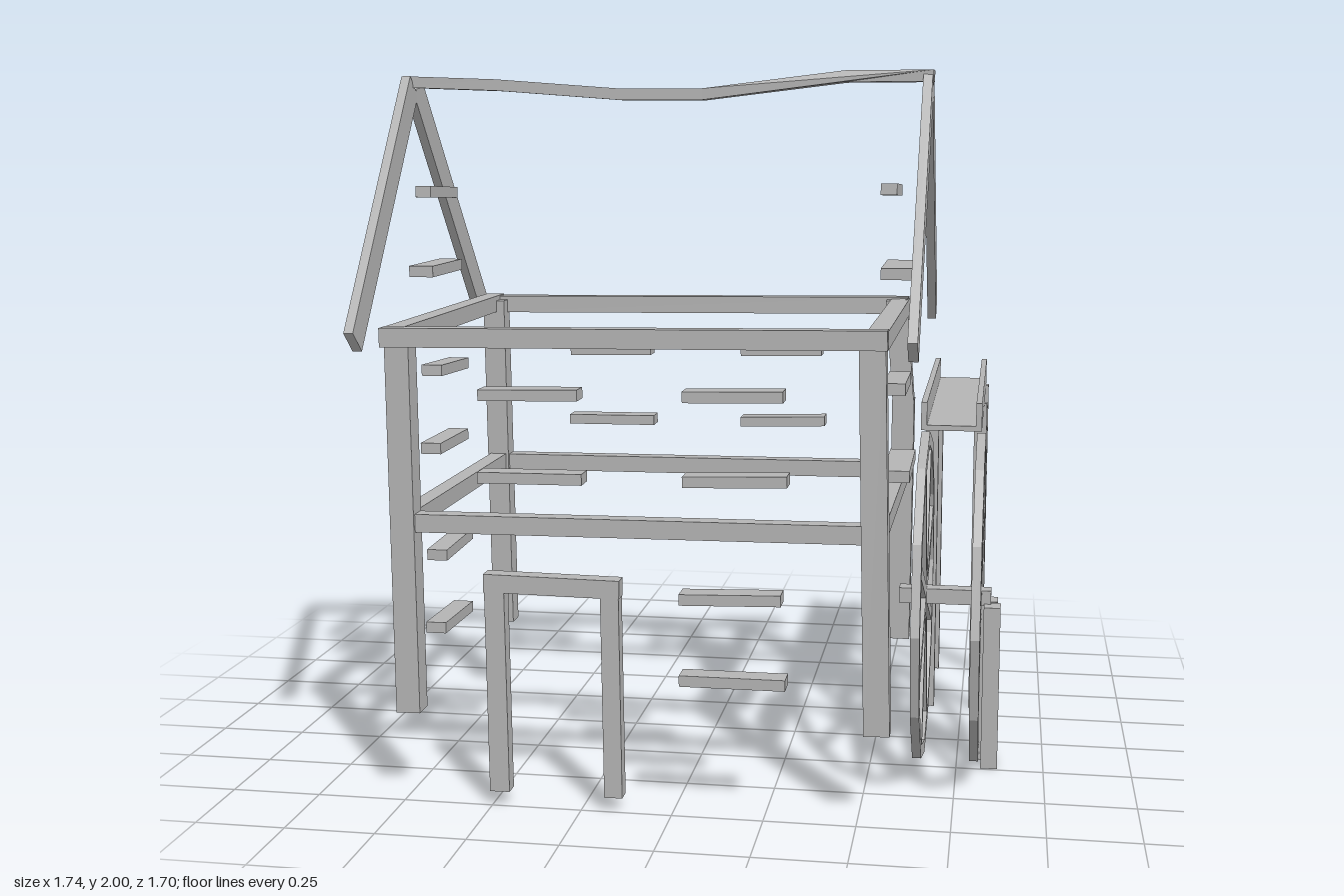
import * as THREE from 'three';

const V = (p) => new THREE.Vector3(...p);

export function createModel() {
  const model = new THREE.Group();
  const timber = new THREE.MeshStandardMaterial({ color: 0xb4b4b4 });
  timber.name = 'timber grey';

  const add = (name, geometry, parent = model) => {
    const mesh = new THREE.Mesh(geometry, timber);
    mesh.name = name;
    parent.add(mesh);
    return mesh;
  };

  // Axis-aligned box given by its min and max along x, y and z
  const box = (name, x0, x1, y0, y1, z0, z1, parent) =>
    add(name, new THREE.BoxGeometry(x1 - x0, y1 - y0, z1 - z0), parent)
      .position.set((x0 + x1) / 2, (y0 + y1) / 2, (z0 + z1) / 2);

  // Square-cut beam from a to b; w is its size along x (or z if it runs along x)
  const beam = (name, a, b, w, h, parent) => {
    const start = V(a), end = V(b);
    const dir = end.clone().sub(start);
    const length = dir.length();
    dir.normalize();
    const side = Math.abs(dir.x) > 0.7 ? V([0, 0, 1]) : V([1, 0, 0]);
    side.addScaledVector(dir, -side.dot(dir)).normalize();
    const up = dir.clone().cross(side);
    const geometry = new THREE.BoxGeometry(w, h, length);
    geometry.applyMatrix4(new THREE.Matrix4().makeBasis(side, up, dir));
    add(name, geometry, parent).position.copy(start.add(end).multiplyScalar(0.5));
  };

  // Corner posts, slightly crooked
  beam('cornerPost', [-0.75, 1.3, 0.695], [-0.74, 0.245, 0.7], 0.067, 0.067);
  beam('cornerPost', [-0.75, 1.3, -0.25], [-0.74, 0.245, -0.262], 0.067, 0.063);
  beam('cornerPost', [0.525, 1.32, 0.695], [0.55, 0.245, 0.7], 0.07, 0.067);
  beam('cornerPost', [0.53, 1.32, -0.25], [0.555, 1.0, -0.255], 0.065, 0.063);
  beam('cornerPost', [0.555, 1.01, -0.255], [0.55, 0.245, -0.262], 0.068, 0.063);

  // Wall plates under the roof and middle rails
  for (const z of [0.71, -0.285]) {
    beam('wallPlate', [-0.795, 1.285, z], [0.565, 1.3, z], 0.05, 0.052);
    const rz = z > 0 ? 0.695 : -0.262;
    beam('middleRail', [-0.73, 0.777, rz], [0.52, 0.785, rz], 0.05, 0.05);
  }
  beam('wallPlate', [-0.768, 1.285, 0.73], [-0.768, 1.29, -0.305], 0.055, 0.05);
  beam('wallPlate', [0.54, 1.3, 0.73], [0.54, 1.295, -0.305], 0.055, 0.05);
  beam('middleRail', [-0.745, 0.78, 0.68], [-0.745, 0.78, -0.24], 0.05, 0.05);
  beam('middleRail', [0.54, 0.785, 0.68], [0.55, 0.785, -0.24], 0.05, 0.05);

  // Door frame
  beam('doorPost', [-0.485, 0.61, 0.727], [-0.478, 0.04, 0.728], 0.055, 0.045);
  beam('doorPost', [-0.167, 0.61, 0.727], [-0.16, 0.04, 0.728], 0.05, 0.045);
  beam('doorLintel', [-0.515, 0.625, 0.725], [-0.14, 0.62, 0.725], 0.05, 0.05);

  // Loose planks on the front and back walls: x range, height at each end
  const planks = [
    [-0.515, -0.245, 1.14, 1.145], [0.035, 0.3, 1.147, 1.152],
    [-0.52, -0.235, 0.918, 0.92], [0.035, 0.312, 0.922, 0.93],
    [0.025, 0.297, 0.605, 0.612], [0.025, 0.31, 0.383, 0.383],
  ];
  planks.forEach(([x0, x1, y0, y1], i) => {
    beam('frontPlank', [x0, y0, 0.735], [x1, y1, 0.735], 0.065, 0.03);
    if (i < 4) beam('backPlank', [x0 + 0.005, y0, -0.293], [x1 - 0.005, y1, -0.293], 0.065, 0.03);
  });

  // Planks on the side walls and gables: x, z range, height at each end, width
  for (const [x, z0, z1, y0, y1, w] of [
    [-0.775, 0.35, 0.085, 1.148, 1.138, 0.06], [-0.78, 0.36, 0.085, 0.92, 0.92, 0.06],
    [-0.77, 0.355, 0.09, 0.602, 0.61, 0.06], [-0.775, 0.365, 0.09, 0.385, 0.38, 0.06],
    [-0.79, 0.345, 0.085, 1.662, 1.652, 0.045], [-0.795, 0.365, 0.08, 1.435, 1.437, 0.07],
    [0.538, 0.345, 0.085, 1.675, 1.665, 0.045], [0.567, 0.36, 0.075, 1.443, 1.448, 0.095],
    [0.575, 0.59, 0.31, 1.155, 1.152, 0.06], [0.585, 0.6, 0.3, 0.922, 0.93, 0.07],
  ]) beam('sidePlank', [x, y0, z0], [x, y1, z1], w, 0.032);

  // Gable rafters
  for (const [top, foot] of [[-0.86, -0.84], [0.636, 0.634]]) {
    beam('rafter', [top, 1.962, 0.23], [foot, 1.28, 0.81], 0.026, 0.085);
    beam('rafter', [top, 1.962, 0.195], [foot, 1.28, -0.37], 0.026, 0.085);
  }

  // Sagging ridge, bent sideways near its right end
  const ridge = [[-0.873, 1.99], [-0.6, 1.98], [-0.23, 1.952], [0, 1.952], [0.405, 2], [0.652, 2]];
  const lower = ridge.map(([x, y]) => [x, y - 0.032]).reverse();
  const ridgeShape = new THREE.Shape([...ridge, ...lower].map(([x, y]) => new THREE.Vector2(x, y)));
  const ridgeGeometry = new THREE.ExtrudeGeometry(ridgeShape, { depth: 0.08, bevelEnabled: false });
  ridgeGeometry.translate(0, 0, 0.162);
  const pos = ridgeGeometry.attributes.position;
  for (let i = 0; i < pos.count; i++) {
    if (pos.getX(i) > 0.5) pos.setZ(i, pos.getZ(i) + 0.024);
  }
  ridgeGeometry.computeVertexNormals();
  add('ridgeBeam', ridgeGeometry);

  // Water wheel: two twelve-sided rims with eight spokes each
  const wheel = new THREE.Group();
  wheel.name = 'waterWheel';
  wheel.position.set(0, 0.497, 0.175);
  model.add(wheel);
  const ring = (r) => Array.from({ length: 12 }, (_, i) =>
    new THREE.Vector2(Math.cos(i * Math.PI / 6) * r, Math.sin(i * Math.PI / 6) * r));
  const rimShape = new THREE.Shape(ring(0.48));
  rimShape.holes.push(new THREE.Path(ring(0.442)));
  for (const x of [0.643, 0.802]) {
    const rim = new THREE.ExtrudeGeometry(rimShape, { depth: 0.025, bevelEnabled: false });
    rim.translate(0, 0, -0.0125).rotateY(Math.PI / 2);
    add('wheelRim', rim, wheel).position.x = x;
    for (let i = 0; i < 8; i++) {
      const a = (i + 0.5) * Math.PI / 4;
      beam('spoke', [x, 0, 0], [x, Math.sin(a) * 0.445, Math.cos(a) * 0.445], 0.022, 0.036, wheel);
    }
  }
  box('axle', 0.575, 0.84, -0.022, 0.022, -0.025, 0.025, wheel);

  // Axle supports
  box('axleSupport', 0.82, 0.868, 0, 0.48, 0.183, 0.243);
  box('axleSupport', 0.81, 0.86, 0, 0.48, 0.11, 0.172);

  // Water trough on four legs
  box('troughFloor', 0.635, 0.8, 0.985, 1, -0.855, 0.2);
  box('troughSide', 0.63, 0.647, 0.985, 1.066, -0.855, 0.2);
  box('troughSide', 0.786, 0.803, 0.985, 1.066, -0.855, 0.2);
  for (const z of [-0.341, -0.763]) {
    box('troughLeg', 0.625, 0.663, 0, 0.99, z - 0.019, z + 0.019);
    box('troughLeg', 0.773, 0.812, 0, 0.99, z - 0.019, z + 0.019);
  }
  return model;
}
